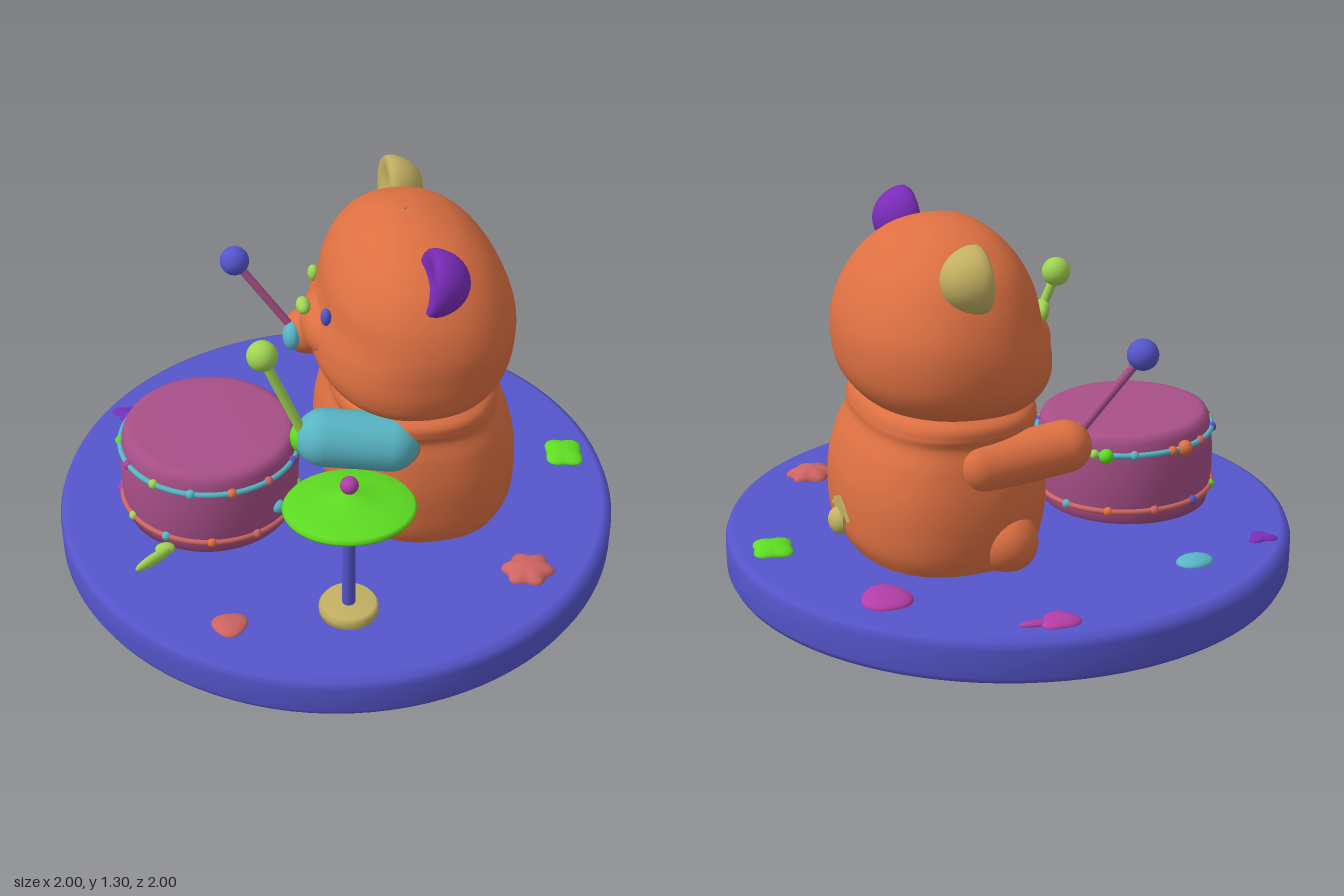
import * as THREE from 'three';
import { ParametricGeometry } from 'three/addons/geometries/ParametricGeometry.js';

const mat = (name, color) => Object.assign(new THREE.MeshStandardMaterial({ color }), { name });
const M = {
  blue: mat('blue', 0x5555cc), orange: mat('orange', 0xdd7042), purple: mat('purple', 0x7a2cb8),
  tan: mat('tan', 0xc2b062), magenta: mat('magenta', 0xb23ea6), teal: mat('teal', 0x58b4c4),
  green: mat('green', 0x5edc22), lime: mat('lime', 0xa0d452), plum: mat('plum', 0xa84f88),
  salmon: mat('salmon', 0xcc6462),
};
const V = (p) => new THREE.Vector3(...p);

export function createModel() {
  const root = new THREE.Group();
  root.name = 'drummingBear';

  const add = (name, geo, m, pos = [0, 0, 0], parent = root) => {
    const mesh = new THREE.Mesh(geo, m);
    mesh.name = name;
    mesh.position.set(...pos);
    parent.add(mesh);
    return mesh;
  };
  const ball = (name, m, pos, r, parent = root) => {
    const mesh = add(name, new THREE.SphereGeometry(1, 28, 20), m, pos, parent);
    mesh.scale.set(...(Array.isArray(r) ? r : [r, r, r]));
    return mesh;
  };
  // rod or capsule stretched between two points
  const between = (name, m, a, b, r, round) => {
    const A = V(a), B = V(b), len = A.distanceTo(B);
    const geo = round ? new THREE.CapsuleGeometry(r, len, 12, 28) : new THREE.CylinderGeometry(r, r, len, 16);
    const mesh = add(name, geo, m, A.clone().lerp(B, 0.5).toArray());
    mesh.quaternion.setFromUnitVectors(V([0, 1, 0]), B.sub(A).normalize());
    return mesh;
  };
  const lathe = (pts, seg = 64) => new THREE.LatheGeometry(pts.map((p) => new THREE.Vector2(...p)), seg);
  // smooth body through horizontal sections [y, xMin, xMax, zMin, zMax]
  const loft = (rows, power) => {
    const mid = new THREE.CatmullRomCurve3(rows.map(([y, a, b, c, d]) => V([(a + b) / 2, y, (c + d) / 2])), false, 'catmullrom');
    const rad = new THREE.CatmullRomCurve3(rows.map(([, a, b, c, d]) => V([(b - a) / 2, 0, (d - c) / 2])), false, 'catmullrom');
    const bulge = (n) => Math.sign(n) * Math.abs(n) ** (2 / power);
    return new ParametricGeometry((u, v, target) => {
      const c = mid.getPoint(v), r = rad.getPoint(v), t = u * Math.PI * 2;
      target.set(c.x + r.x * bulge(Math.cos(t)), c.y, c.z - r.z * bulge(Math.sin(t)));
    }, 64, 60);
  };

  // round base with softened rims
  add('base', lathe([[0, 0], [0.97, 0], [0.99, 0.01], [1, 0.03], [1, 0.125], [0.99, 0.15], [0.965, 0.163], [0, 0.163]], 96), M.blue);

  // bear facing -x
  add('body', loft([
    [0.14, 0.0, 0.59, -0.45, 0.37], [0.22, -0.04, 0.63, -0.48, 0.4], [0.32, -0.06, 0.638, -0.49, 0.41],
    [0.42, -0.06, 0.63, -0.485, 0.41], [0.52, -0.04, 0.6, -0.465, 0.395], [0.59, -0.02, 0.565, -0.445, 0.375],
    [0.63, -0.03, 0.56, -0.455, 0.385], [0.67, -0.02, 0.545, -0.445, 0.38], [0.71, 0.02, 0.5, -0.38, 0.32],
  ], 2.4), M.orange);
  add('head', loft([
    [0.65, 0.02, 0.48, -0.36, 0.29], [0.7, -0.05, 0.555, -0.44, 0.375], [0.77, -0.085, 0.6, -0.485, 0.405],
    [0.86, -0.08, 0.615, -0.497, 0.412], [0.95, -0.05, 0.608, -0.485, 0.408], [1.05, -0.03, 0.57, -0.445, 0.375],
    [1.14, 0.015, 0.51, -0.385, 0.31], [1.21, 0.075, 0.435, -0.29, 0.215], [1.25, 0.135, 0.355, -0.19, 0.115],
    [1.268, 0.19, 0.29, -0.1, 0.03], [1.273, 0.235, 0.245, -0.045, -0.035],
  ], 2.25), M.orange);
  ball('snout', M.orange, [-0.02, 0.84, -0.05], [0.095, 0.1, 0.17]);
  ball('nose', M.lime, [-0.105, 0.92, -0.05], [0.025, 0.027, 0.04]);
  ball('leftEye', M.blue, [-0.052, 0.965, 0.1], [0.018, 0.032, 0.022]);
  ball('rightEye', M.lime, [-0.045, 0.95, -0.2], [0.02, 0.03, 0.026]);

  // cupped ears, flat towards the face
  const cup = [[0, 0.025], [0.07, 0.01], [0.1, 0], [0.11, 0.012]];
  for (let i = 1; i <= 10; i++) {
    const t = (i / 10) * Math.PI / 2;
    cup.push([0.113 * Math.cos(t), 0.012 + 0.13 * Math.sin(t)]);
  }
  cup.reverse()[0][0] = 0;
  cup.reverse();
  for (const [name, m, pos, tilt] of [['leftEar', M.purple, [0.24, 1.195, 0.3], -0.1], ['rightEar', M.tan, [0.24, 1.15, -0.4], -0.05]]) {
    const ear = add(name, lathe(cup, 36), m, pos);
    ear.rotation.z = -Math.PI / 2 + tilt;
  }

  // limbs
  between('leftLeg', M.orange, [0.2, 0.27, 0.24], [-0.005, 0.275, 0.315], 0.108, true);
  between('rightLeg', M.orange, [0.25, 0.26, -0.3], [0.17, 0.245, -0.42], 0.105, true);
  between('leftArm', M.orange, [0.16, 0.57, 0.3], [-0.09, 0.59, 0.265], 0.097, true);
  between('leftSleeve', M.teal, [0.13, 0.585, 0.325], [-0.09, 0.605, 0.285], 0.1, true);
  ball('leftHand', M.green, [-0.165, 0.6, 0.265], [0.04, 0.055, 0.05]);
  between('rightArm', M.orange, [0.26, 0.52, -0.415], [-0.035, 0.555, -0.425], 0.088, true);
  ball('rightHand', M.teal, [-0.095, 0.56, -0.39], [0.035, 0.055, 0.05]);

  // tail with a small tuft plate on the back
  ball('tail', M.tan, [0.635, 0.245, -0.05], [0.04, 0.048, 0.055]);
  const tuft = new THREE.Shape([[-0.09, 0], [-0.05, 0.01], [-0.03, -0.04], [0.05, -0.04], [0.055, 0.01], [0.1, 0],
    [0.06, 0.04], [0.01, 0.065], [-0.05, 0.04]].map((p) => new THREE.Vector2(...p)));
  const tuftMesh = add('tailTuft', new THREE.ExtrudeGeometry(tuft, { depth: 0.009, bevelEnabled: false }), M.tan, [0.633, 0.28, -0.06]);
  tuftMesh.rotation.y = Math.PI / 2;

  // drumsticks
  between('leftStick', M.lime, [-0.15, 0.6, 0.285], [-0.29, 0.94, 0.26], 0.017);
  ball('leftStickTip', M.lime, [-0.29, 0.948, 0.26], 0.052);
  between('rightStick', M.plum, [-0.08, 0.57, -0.4], [-0.285, 0.85, -0.47], 0.015);
  ball('rightStickTip', M.blue, [-0.288, 0.856, -0.472], 0.053);

  // drum with two beaded hoops, leaning slightly
  const drum = new THREE.Group();
  drum.name = 'drum';
  drum.position.set(-0.465, 0, 0);
  drum.rotation.z = -0.03;
  root.add(drum);
  add('drumShell', lathe([[0, 0.15], [0.295, 0.15], [0.308, 0.2], [0.315, 0.28], [0.316, 0.36], [0.31, 0.43],
    [0.305, 0.465], [0.295, 0.485], [0.28, 0.493], [0.26, 0.495], [0, 0.495]]), M.plum, [0, 0, 0], drum);
  const beadColors = [M.green, M.lime, M.orange, M.blue, M.magenta, M.teal, M.salmon];
  for (const [name, y, m, n, r] of [['upperHoop', 0.43, M.teal, 14, 0.314], ['lowerHoop', 0.218, M.salmon, 12, 0.312]]) {
    add(name, new THREE.TorusGeometry(r, 0.01, 10, 72), m, [0, y, 0], drum).rotation.x = Math.PI / 2;
    for (let i = 0; i < n; i++) {
      const t = (i / n) * Math.PI * 2 + 0.1;
      ball('bead', beadColors[(i * 3) % 7], [r * Math.cos(t), y, r * Math.sin(t)], 0.017, drum);
    }
  }
  ball('shellBead', M.teal, [0.21, 0.29, 0.235], 0.025, drum);
  ball('shellBead', M.green, [0.19, 0.43, -0.26], 0.026, drum);
  ball('shellBead', M.orange, [-0.09, 0.43, -0.305], 0.027, drum);

  // cymbal on its stand
  const cx = -0.075, cz = 0.66;
  add('standFoot', lathe([[0, 0.15], [0.1, 0.15], [0.1, 0.185], [0.09, 0.2], [0, 0.2]], 40), M.tan, [cx, 0, cz]);
  add('standPost', new THREE.CylinderGeometry(0.022, 0.022, 0.45, 20), M.blue, [cx, 0.405, cz]);
  const cymbal = add('cymbal', lathe([[0, -0.012], [0.18, -0.02], [0.21, -0.018], [0.216, -0.007], [0.208, 0.004],
    [0.15, 0.014], [0.07, 0.025], [0.04, 0.04], [0, 0.046]]), M.green, [cx, 0.62, cz]);
  cymbal.rotation.x = -0.13;
  ball('cymbalKnob', M.magenta, [cx, 0.7, cz], 0.03);

  // wavy paint splats lying on the base: colour, x, z, rx, rz, height, lobes, waviness
  for (const [m, x, z, rx, rz, h, lobes, wave] of [
    [M.magenta, 0.17, -0.87, 0.065, 0.055, 0.02, 3, 0.1], [M.teal, -0.42, -0.635, 0.062, 0.055, 0.022, 2, 0.08],
    [M.purple, -0.72, -0.55, 0.045, 0.04, 0.015, 3, 0.28], [M.magenta, 0.625, -0.525, 0.083, 0.09, 0.028, 3, 0.06],
    [M.green, 0.865, -0.02, 0.072, 0.078, 0.025, 4, 0.12], [M.salmon, 0.565, 0.58, 0.085, 0.075, 0.035, 6, 0.1],
    [M.salmon, -0.475, 0.665, 0.06, 0.055, 0.02, 3, 0.08],
  ]) {
    const geo = new THREE.SphereGeometry(1, 48, 16), p = geo.attributes.position;
    for (let i = 0; i < p.count; i++) {
      const k = 1 + wave * Math.sin(lobes * Math.atan2(p.getZ(i), p.getX(i)) + lobes);
      p.setXYZ(i, p.getX(i) * k * rx, p.getY(i) * h, p.getZ(i) * k * rz);
    }
    geo.computeVertexNormals();
    add('paintSplat', geo, m, [x, 0.163, z]);
  }
  ball('splatTail', M.magenta, [0.25, 0.165, -0.865], [0.055, 0.012, 0.016]).rotation.y = -0.15;
  ball('leafSplat', M.lime, [-0.69, 0.18, 0.315], [0.085, 0.022, 0.018]).rotation.y = 0.6;
  ball('leafSplat', M.lime, [-0.65, 0.18, 0.27], [0.035, 0.02, 0.025]);
  return root;
}
